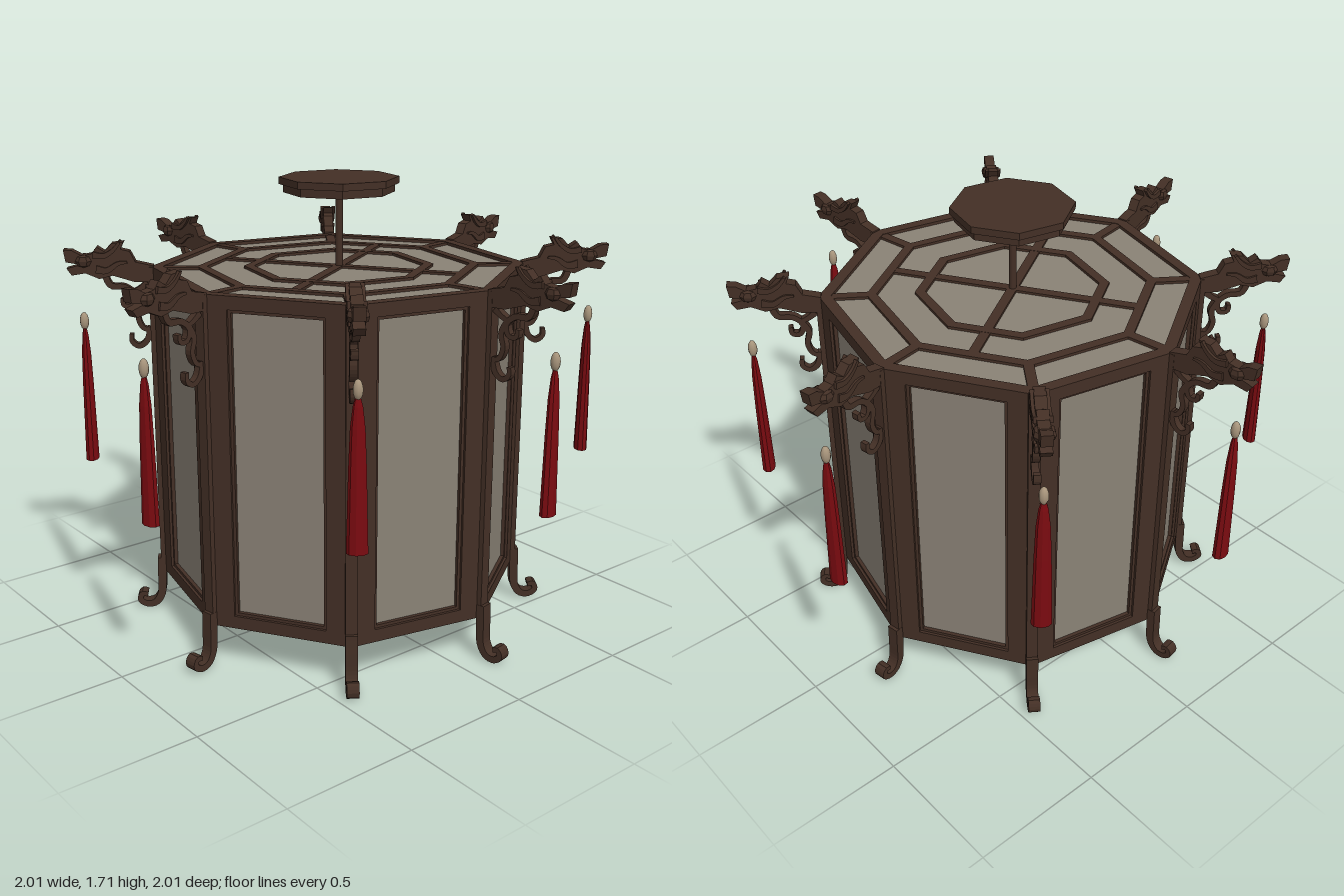
import * as THREE from 'three';

const wood = new THREE.MeshStandardMaterial({ color: 0x432f25 });
wood.name = 'dark wood';
const pane = new THREE.MeshStandardMaterial({ color: 0x8a8276 });
pane.name = 'frosted pane';
const silk = new THREE.MeshStandardMaterial({ color: 0x7a0b10 });
silk.name = 'red silk';
const ivory = new THREE.MeshStandardMaterial({ color: 0xa8957c });
ivory.name = 'ivory bead';

const TURN = THREE.MathUtils.degToRad(9.8); // direction of the first corner, from +z
const STEP = Math.PI / 4;
const R = 0.7, APOTHEM = R * Math.cos(STEP / 2), SIDE = 2 * R * Math.sin(STEP / 2);
const BOTTOM = 0.155, TOP = 1.38;

function add(parent, name, geometry, material, x = 0, y = 0, z = 0) {
  const mesh = new THREE.Mesh(geometry, material);
  mesh.name = name;
  mesh.position.set(x, y, z);
  parent.add(mesh);
  return mesh;
}

function faceted(geometry) {
  const flat = geometry.toNonIndexed();
  flat.computeVertexNormals();
  return flat;
}

const vectors = (list) => list.map(([x, y]) => new THREE.Vector2(x, y));

// Extrude a shape with its thickness centred on z = 0
function slab(shape, depth) {
  return new THREE.ExtrudeGeometry(shape, { depth, bevelEnabled: false })
    .translate(0, 0, -depth / 2);
}

// Flat scroll: a tapering band along a smooth path in the xy plane
function scroll(points, startWidth, endWidth, depth) {
  const curve = new THREE.SplineCurve(vectors(points));
  const n = points.length * 3, left = [], right = [];
  for (let i = 0; i <= n; i++) {
    const p = curve.getPoint(i / n), t = curve.getTangent(i / n);
    const h = THREE.MathUtils.lerp(startWidth, endWidth, i / n) / 2;
    left.push(new THREE.Vector2(p.x - t.y * h, p.y + t.x * h));
    right.unshift(new THREE.Vector2(p.x + t.y * h, p.y - t.x * h));
  }
  return slab(new THREE.Shape([...left, ...right]), depth);
}

function octagon(r) {
  return Array.from({ length: 8 }, (_, i) => {
    const a = TURN + i * STEP;
    return new THREE.Vector2(r * Math.sin(a), -r * Math.cos(a));
  });
}

// Horizontal octagonal ring
function ring(outer, inner, height) {
  const shape = new THREE.Shape(octagon(outer));
  if (inner) shape.holes.push(new THREE.Path(octagon(inner)));
  return slab(shape, height).rotateX(-Math.PI / 2);
}

// Latticed lid, used for the top and the bottom
function createLid(name, y) {
  const lid = new THREE.Group();
  lid.name = name;
  lid.position.y = y;
  add(lid, 'lidPane', ring(0.66, 0, 0.006), pane);
  add(lid, 'outerRing', ring(R, 0.655, 0.03), wood);
  add(lid, 'middleRing', ring(0.53, 0.492, 0.026), wood);
  add(lid, 'innerRing', ring(0.355, 0.317, 0.026), wood);
  for (let i = 0; i < 8; i++) {
    const spoke = new THREE.BoxGeometry(0.036, 0.026, 0.18).translate(0, 0, 0.59);
    add(lid, 'cornerSpoke', spoke, wood).rotation.y = TURN + i * STEP;
  }
  for (let i = 0; i < 2; i++) {
    const bar = new THREE.BoxGeometry(0.036, 0.024, 0.96);
    add(lid, 'crossBar', bar, wood).rotation.y = TURN + STEP / 2 + i * Math.PI / 2;
  }
  return lid;
}

// One framed side wall facing +z
function createWall() {
  const wall = new THREE.Group();
  wall.name = 'wall';
  const frame = (w, y0, y1) => vectors([[-w, y0], [w, y0], [w, y1], [-w, y1]]);
  const shape = new THREE.Shape(frame(SIDE / 2, BOTTOM, TOP));
  shape.holes.push(new THREE.Path(frame(0.175, 0.203, 1.332)));
  add(wall, 'wallFrame', slab(shape, 0.04), wood, 0, 0, APOTHEM - 0.02);
  const lip = new THREE.Shape(frame(0.18, 0.2, 1.335));
  lip.holes.push(new THREE.Path(frame(0.164, 0.214, 1.32)));
  add(wall, 'windowLip', slab(lip, 0.02), wood, 0, 0, APOTHEM - 0.02);
  add(wall, 'windowPane', new THREE.BoxGeometry(0.35, 1.13, 0.008), pane, 0, 0.767, APOTHEM - 0.028);
  return wall;
}

const headProfile = [
  [0.69, 1.325], [0.76, 1.325], [0.84, 1.35], [0.89, 1.338], [0.94, 1.36], [0.99, 1.352],
  [1.008, 1.378], [0.955, 1.392], [1.01, 1.402], [1.017, 1.448], [0.985, 1.445], [0.95, 1.425],
  [0.915, 1.432], [0.895, 1.458], [0.868, 1.44], [0.84, 1.47], [0.795, 1.475], [0.808, 1.448],
  [0.775, 1.44], [0.755, 1.4], [0.69, 1.385]];

const tasselProfile = [[0, 0.63], [0.037, 0.63], [0.034, 0.75], [0.03, 0.92], [0.025, 1.05], [0.017, 1.12], [0.008, 1.155], [0, 1.155]];

// Corner post with its foot, carved arm and tassel; +x points outward
function createCorner() {
  const corner = new THREE.Group();
  corner.name = 'corner';
  add(corner, 'post', new THREE.BoxGeometry(0.04, TOP - BOTTOM, 0.042), wood, 0.69, (TOP + BOTTOM) / 2);
  add(corner, 'foot', scroll([[0.705, 0.21], [0.708, 0.13], [0.712, 0.06], [0.735, 0.02], [0.77, 0.012],
    [0.798, 0.03], [0.79, 0.056], [0.768, 0.052]], 0.036, 0.018, 0.044), wood);

  // Carved arm ending in a horned animal head
  add(corner, 'armHead', slab(new THREE.Shape(vectors(headProfile)), 0.04), wood);
  for (const s of [-1, 1]) {
    const cheek = faceted(new THREE.SphereGeometry(0.03, 6, 4).scale(1, 0.8, 0.55));
    add(corner, 'cheek', cheek, wood, 0.945, 1.405, s * 0.021);
    const horn = scroll([[0.91, 1.43], [0.87, 1.425], [0.835, 1.445], [0.81, 1.475]], 0.024, 0.01, 0.014);
    add(corner, 'horn', horn, wood, 0, 0, s * 0.024);
    const mane = scroll([[0.9, 1.375], [0.86, 1.37], [0.82, 1.395], [0.785, 1.4]], 0.03, 0.008, 0.012);
    add(corner, 'mane', mane, wood, 0, 0, s * 0.022);
  }

  // Scrolled bracket beneath the arm
  const bracket = [
    [[0.87, 1.35], [0.85, 1.31], [0.8, 1.305], [0.765, 1.275], [0.775, 1.235], [0.805, 1.235], [0.81, 1.262]],
    [[0.77, 1.285], [0.745, 1.24], [0.755, 1.19], [0.74, 1.15], [0.715, 1.14]],
    [[0.71, 1.15], [0.725, 1.1], [0.755, 1.078], [0.782, 1.095], [0.782, 1.125]],
    [[0.715, 1.32], [0.74, 1.3], [0.77, 1.285]]];
  for (const path of bracket) add(corner, 'bracketScroll', scroll(path, 0.024, 0.016, 0.026), wood);

  // Flattened tassel with its bead
  const tassel = new THREE.LatheGeometry(vectors(tasselProfile), 9).scale(0.68, 1, 1);
  add(corner, 'tassel', faceted(tassel), silk, 0.957);
  add(corner, 'bead', new THREE.SphereGeometry(0.017, 10, 8).scale(1, 2, 1), ivory, 0.957, 1.175);
  return corner;
}

export function createModel() {
  const lantern = new THREE.Group();
  lantern.name = 'lantern';

  for (let i = 0; i < 8; i++) {
    const angle = TURN + i * STEP;
    const wall = createWall();
    wall.rotation.y = angle + STEP / 2;
    const corner = createCorner();
    corner.rotation.y = angle - Math.PI / 2;
    lantern.add(wall, corner);
  }
  lantern.add(createLid('topLid', TOP - 0.015), createLid('bottomLid', BOTTOM + 0.015));

  // Hanging rod and ceiling plate
  add(lantern, 'rod', new THREE.CylinderGeometry(0.014, 0.014, 0.3, 8), wood, 0, 1.51);
  add(lantern, 'ceilingPlateRim', ring(0.222, 0, 0.026), wood, 0, 1.693);
  add(lantern, 'ceilingPlateBase', ring(0.207, 0, 0.032), wood, 0, 1.666);
  return lantern;
}
